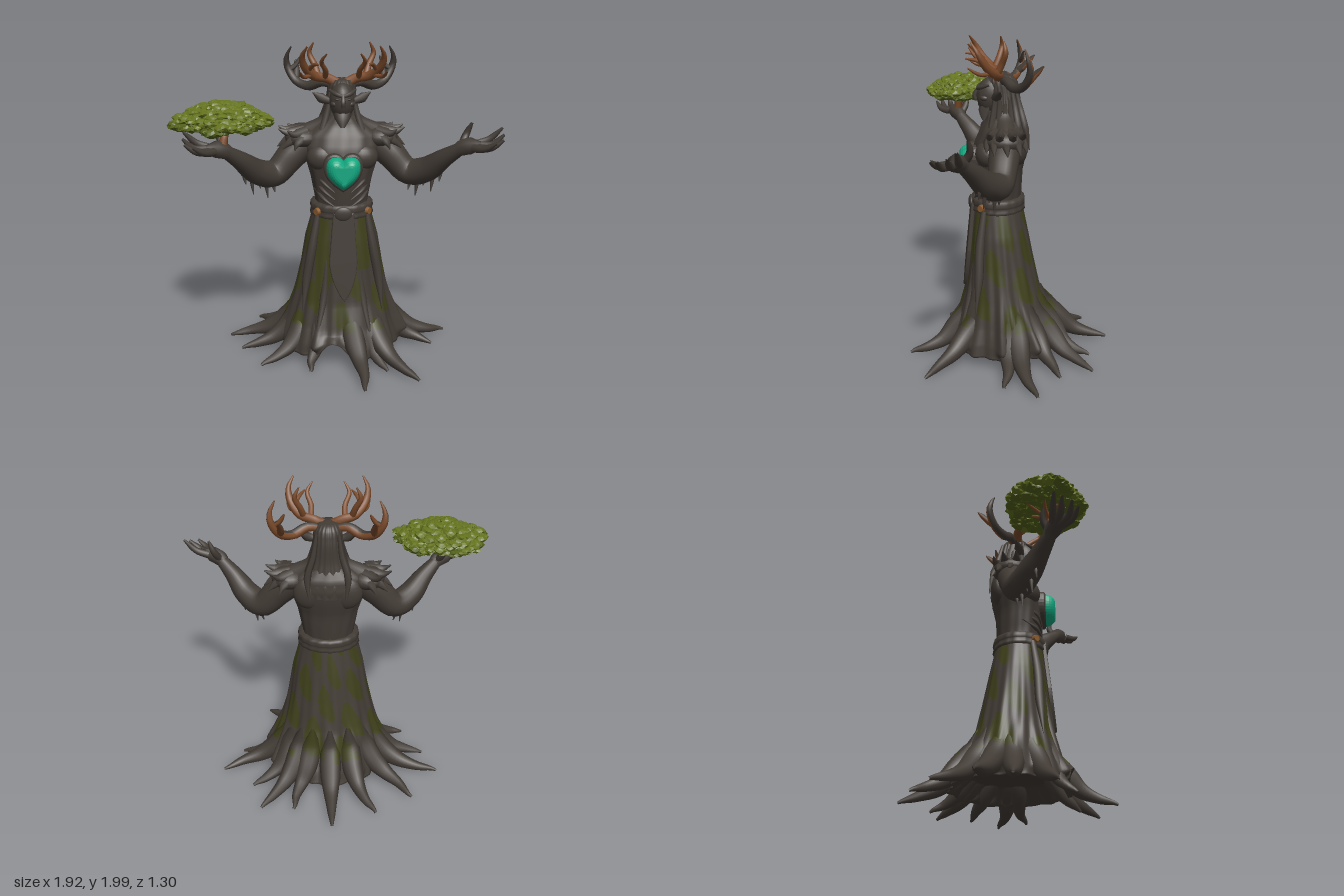
import * as THREE from 'three';
import { mergeGeometries } from 'three/addons/utils/BufferGeometryUtils.js';

const mat = (name, color) => Object.assign(new THREE.MeshStandardMaterial({ color }), { name });

export function createModel() {
  const bark = mat('bark', 0x423b35), moss = mat('moss', 0x3e3f1b), antlerWood = mat('antlerWood', 0x7c4b2b);
  const leaf = mat('leaf', 0x65741f), darkLeaf = mat('darkLeaf', 0x526019);
  const gem = mat('gem', 0x12a880), shadow = mat('shadow', 0x2b2522), bronze = mat('bronze', 0x8a5a2c);

  const root = new THREE.Group();
  root.name = 'treeGuardian';
  const body = new THREE.Group();
  body.name = 'body';
  body.position.x = 0.035;
  root.add(body);

  const add = (name, geo, material, parent = body) => {
    const m = new THREE.Mesh(geo, material);
    m.name = name;
    parent.add(m);
    return m;
  };

  // Tapered tube through points, with radii spread evenly along it
  const limb = (pts, radii, s = 1, segs = 14, sides = 8) => {
    const curve = new THREE.CatmullRomCurve3(pts.map(p => new THREE.Vector3(p[0] * s, p[1], p[2])));
    const g = new THREE.TubeGeometry(curve, segs, 1, sides);
    const pos = g.attributes.position, v = new THREE.Vector3();
    for (let i = 0; i <= segs; i++) {
      const c = curve.getPointAt(i / segs), t = i / segs * (radii.length - 1);
      const k = Math.min(Math.floor(t), radii.length - 2);
      const r = THREE.MathUtils.lerp(radii[k], radii[k + 1], t - k);
      for (let j = 0; j <= sides; j++) {
        const n = i * (sides + 1) + j;
        v.fromBufferAttribute(pos, n).sub(c).multiplyScalar(r).add(c);
        pos.setXYZ(n, v.x, v.y, v.z);
      }
    }
    return g;
  };

  // Stacked elliptical sections, bottom to top: [y, centre z, radius x, radius z]
  const loft = (rows, steps, cols, ripple = () => 1, lift = () => 0) => {
    const pos = [], idx = [], n = (rows.length - 1) * steps;
    for (let i = 0; i <= n; i++) {
      const k = Math.min(Math.floor(i / steps), rows.length - 2), f = i / steps - k;
      const [y, cz, rx, rz] = rows[k].map((a, q) => THREE.MathUtils.lerp(a, rows[k + 1][q], f));
      for (let j = 0; j < cols; j++) {
        const a = j / cols * Math.PI * 2, w = ripple(a, y);
        pos.push(Math.cos(a) * rx * w, y + lift(a, y), cz + Math.sin(a) * rz * w);
        if (i === n) continue;
        const p = i * cols + j, b = i * cols + (j + 1) % cols;
        idx.push(p, p + cols, b, b, p + cols, b + cols);
      }
    }
    const g = new THREE.BufferGeometry();
    g.setAttribute('position', new THREE.Float32BufferAttribute(pos, 3));
    g.setIndex(idx);
    g.computeVertexNormals();
    return g;
  };

  // Split triangles into two material groups by a rule on their centre and normal
  const paint = (g, rule) => {
    const sets = [[], []], v = [0, 1, 2].map(() => new THREE.Vector3());
    for (let i = 0; i < g.index.count; i += 3) {
      const t = [0, 1, 2].map(k => g.index.getX(i + k));
      t.forEach((n, k) => v[k].fromBufferAttribute(g.attributes.position, n));
      const normal = new THREE.Triangle(...v).getNormal(new THREE.Vector3());
      const c = v[0].clone().add(v[1]).add(v[2]).divideScalar(3);
      sets[rule(c, normal) ? 1 : 0].push(...t);
    }
    g.setIndex(sets.flat());
    g.addGroup(0, sets[0].length, 0);
    g.addGroup(sets[0].length, sets[1].length, 1);
    return g;
  };

  const ball = (x, y, z, sx, sy, sz) => new THREE.SphereGeometry(1, 20, 14).scale(sx, sy, sz).translate(x, y, z);

  // Mottled moss, denser at the back, with upright bands beside the front panel
  const mossy = c => {
    if (c.y < 0.25 || c.y > 0.96) return false;
    if (c.z > 0.12 && Math.abs(c.x) > 0.085 && Math.abs(c.x) < 0.17 && c.y > (c.x < 0 ? 0.5 : 0.63)) return true;
    const a = Math.atan2(c.z - 0.04, c.x);
    const n = Math.sin(7 * a + 9 * c.y) + Math.sin(23 * c.y - 4 * a + 1) + Math.sin(11 * a - 15 * c.y + 2);
    return n > (c.z < 0.05 ? -0.1 : 0.25);
  };

  // Root tips on the ground
  const tips = [[-0.03, -0.65], [-0.31, -0.53], [-0.55, -0.38], [-0.735, -0.12], [-0.65, 0.07], [-0.52, 0.3], [-0.21, 0.4],
    [0.11, 0.64], [0.27, 0.42], [0.45, 0.54], [0.6, 0.07], [0.715, -0.12], [0.5, -0.28], [0.43, -0.49], [0.22, -0.5]];

  // Folded bark skirt that swells into each root and arches up at the front
  const swell = (a, y) => {
    const amp = 0.13 * (1 - THREE.MathUtils.smoothstep(y, 0.12, 0.5)) * THREE.MathUtils.smoothstep(y, 0.08, 0.14);
    return amp * Math.max(...tips.map(([x, z]) => {
      const d = a - Math.atan2(z, x);
      return Math.exp(-(((d - Math.PI * 2 * Math.round(d / Math.PI / 2)) / 0.12) ** 2));
    }));
  };
  const skirt = loft([[0.19, 0.02, 0.01, 0.01], [0.17, 0.02, 0.28, 0.25], [0.075, 0.015, 0.385, 0.365], [0.15, 0.02, 0.37, 0.335], [0.25, 0.03, 0.338, 0.287],
    [0.4, 0.04, 0.302, 0.24], [0.6, 0.05, 0.26, 0.208], [0.8, 0.06, 0.226, 0.18], [1.0, 0.068, 0.172, 0.148]], 8, 160,
  (a, y) => 1 + (1.05 - y) * (0.035 * Math.sin(11 * a + 3 * y) + 0.022 * Math.sin(23 * a - 4 * y)) + swell(a, y),
  (a, y) => Math.max(0, 0.22 - y) * 0.8 * Math.exp(-(((a - 1.75) / 0.22) ** 2)));
  add('skirt', paint(skirt, mossy), [bark, moss]);

  // Spreading roots
  tips.forEach(([x, z], i) => {
    const d = Math.hypot(x, z), bend = 0.025 * Math.sin(i * 2.4);
    const at = (r, y, w = 0) => [x / d * r - z / d * w, y, z / d * r * (r < 0.3 ? 0.84 : 1) + x / d * w + 0.02 * (1 - r / d)];
    const out = f => 0.27 + (d - 0.275) * f;
    const g = limb([at(0.25, 0.42), at(0.275, 0.3), at(out(0.18), 0.18, bend / 2), at(out(0.43), 0.095, bend), at(out(0.72), 0.05, bend), at(out(0.95), 0.024), at(d, 0.014)],
      [0.01, 0.045, 0.066, 0.07, 0.064, 0.05, 0.036, 0.024, 0.008], 1, 24, 10);
    add('root', paint(g, mossy), [bark, moss]);
  });

  // Pointed front panel and side straps
  const panel = new THREE.Shape();
  panel.moveTo(0, 0).quadraticCurveTo(0.07, 0.1, 0.075, 0.25).lineTo(0.055, 0.55).lineTo(-0.06, 0.55)
    .lineTo(-0.085, 0.25).quadraticCurveTo(-0.08, 0.12, 0, 0);
  const tabard = add('frontPanel', new THREE.ExtrudeGeometry(panel, { depth: 0.015, bevelSize: 0.006, bevelThickness: 0.006, bevelSegments: 2 }), bark);
  tabard.position.set(0.005, 0.44, 0.272);
  tabard.rotation.x = -0.1;
  for (const s of [1, -1]) {
    add('sideStrap', limb([[0.15, 0.97, 0.16], [0.19, 0.75, 0.19], [0.225, 0.55, 0.2], [0.25, 0.34, 0.22]], [0.02, 0.03, 0.028, 0.003], s), bark);
    add('skirtFold', limb([[0.09, 0.97, 0.18], [0.1, 0.7, 0.215], [0.12, 0.45, 0.245], [0.17, 0.2, 0.31]], [0.004, 0.012, 0.025, 0.01], s), bark);
  }

  // Belt with studs
  add('belt', loft([[0.94, 0.068, 0.17, 0.14], [0.955, 0.068, 0.196, 0.168], [0.985, 0.068, 0.188, 0.162], [1.0, 0.068, 0.194, 0.167],
    [1.03, 0.068, 0.19, 0.163], [1.04, 0.068, 0.15, 0.13]], 2, 72, a => 1 + 0.012 * Math.sin(18 * a)), bark);
  add('beltBuckle', ball(0, 0.99, 0.235, 0.055, 0.045, 0.018), bark);
  for (const s of [1, -1]) {
    const stud = add('beltStud', new THREE.CylinderGeometry(0.02, 0.024, 0.02, 12).rotateX(Math.PI / 2), bronze);
    stud.position.set(0.157 * s, 0.99, 0.18);
    stud.rotation.y = 0.85 * s;
  }

  // Torso
  add('torso', loft([[0.95, 0.07, 0.16, 0.135], [1.05, 0.07, 0.162, 0.145], [1.2, 0.07, 0.19, 0.153], [1.3, 0.06, 0.22, 0.165],
    [1.38, 0.045, 0.245, 0.16], [1.45, 0.035, 0.235, 0.14], [1.51, 0.035, 0.15, 0.11], [1.57, 0.05, 0.075, 0.08]], 4, 72,
  (a, y) => 1 + 0.012 * Math.sin(14 * a + 8 * y)), bark);
  for (const s of [1, -1]) {
    add('neckMuscle', limb([[0.03, 1.58, 0.03], [0.1, 1.5, 0.03], [0.24, 1.42, 0.03]], [0.05, 0.06, 0.075], s), bark);
    add('chestMuscle', ball(0.115 * s, 1.32, 0.135, 0.1, 0.085, 0.075), bark);
    add('shoulderBlade', ball(0.11 * s, 1.36, -0.05, 0.1, 0.11, 0.055), bark);
    for (let i = 0; i < 3; i++) add('rib', limb([[0.17, 1.22 - i * 0.05, 0.1], [0.11, 1.17 - i * 0.05, 0.19], [0.05, 1.12 - i * 0.045, 0.215]], [0.004, 0.014, 0.004], s), bark);
  }

  // Heart gem in a bark rim
  const heart = k => {
    const h = new THREE.Shape();
    h.moveTo(0, 0.075 * k).bezierCurveTo(0.02 * k, 0.105 * k, 0.1 * k, 0.11 * k, 0.1 * k, 0.03 * k)
      .bezierCurveTo(0.1 * k, -0.035 * k, 0.05 * k, -0.075 * k, 0, -0.105 * k)
      .bezierCurveTo(-0.05 * k, -0.075 * k, -0.1 * k, -0.035 * k, -0.1 * k, 0.03 * k)
      .bezierCurveTo(-0.1 * k, 0.11 * k, -0.02 * k, 0.105 * k, 0, 0.075 * k);
    return h;
  };
  const puffed = (k, depth, b, thick) => new THREE.ExtrudeGeometry(heart(k),
    { depth, bevelSize: b, bevelOffset: -b, bevelThickness: thick, bevelSegments: 6, curveSegments: 10 }).translate(0, 1.25, 0);
  add('heartRim', puffed(1.18, 0.06, 0.018, 0.018).translate(0, 0, 0.165), bark);
  add('heartGem', puffed(1.03, 0.03, 0.052, 0.075).translate(0, 0, 0.198), gem);

  // Arms, hands, shoulder pads and hanging vines
  for (const s of [1, -1]) {
    add('arm', limb([[0.2, 1.41, 0.03], [0.3, 1.32, 0.05], [0.41, 1.21, 0.08], [0.51, 1.24, 0.15], [0.6, 1.33, 0.23], [0.69, 1.41, 0.3]],
      [0.09, 0.092, 0.082, 0.082, 0.073, 0.053, 0.036], s, 28, 14), bark);
    add('palm', limb([[0.65, 1.38, 0.27], [0.7, 1.415, 0.305], [0.75, 1.43, 0.33], [0.79, 1.44, 0.345]], [0.03, 0.05, 0.052, 0.015], s), bark);
    const fingers = [[[0.76, 1.43, 0.31], [0.84, 1.46, 0.31], [0.915, 1.53, 0.32]], [[0.77, 1.43, 0.33], [0.85, 1.44, 0.355], [0.915, 1.5, 0.365]],
      [[0.76, 1.42, 0.35], [0.83, 1.43, 0.4], [0.9, 1.48, 0.42]], [[0.74, 1.42, 0.36], [0.79, 1.43, 0.42], [0.85, 1.47, 0.455]],
      [[0.69, 1.42, 0.28], [0.72, 1.48, 0.25], [0.75, 1.55, 0.26]]];
    fingers.forEach(f => add('finger', limb(f, [0.025, 0.022, 0.018, 0.007], s, 10), bark));
    add('shoulderPad', ball(0.235 * s, 1.425, 0.035, 0.11, 0.068, 0.12), bark);
    for (let i = 0; i < 9; i++) {
      const a = -1.35 + i * 0.34, c = Math.cos(a), n = Math.sin(a), up = i % 2 ? 0.05 : 0;
      add('shoulderSpike', limb([[0.2 + c * 0.03, 1.455 + up / 3, 0.035 + n * 0.06], [0.25 + c * 0.08, 1.41 + up, 0.035 + n * 0.11],
        [0.26 + c * 0.13, 1.365 + up * 2.4, 0.03 + n * 0.12]], [0.03, 0.032, 0.003], s, 8, 6), bark);
    }
    for (let i = 0; i < 5; i++) {
      const x = 0.41 + i * 0.042, y = 1.16 + i * 0.022, z = 0.08 + i * 0.03;
      add('hangingVine', limb([[x, y + 0.03, z], [x + 0.008, y - 0.03, z], [x, y - 0.07 - 0.05 * (i % 2), z + 0.005]], [0.02, 0.014, 0.003], s, 6, 5), bark);
    }
  }

  // Head and hair
  add('hair', loft([[1.34, 0.0, 0.16, 0.115], [1.42, 0.015, 0.18, 0.125], [1.48, 0.025, 0.14, 0.11], [1.56, 0.025, 0.105, 0.095], [1.66, 0.025, 0.088, 0.09],
    [1.74, 0.04, 0.082, 0.09], [1.775, 0.05, 0.06, 0.07], [1.785, 0.05, 0.005, 0.005]], 3, 80, a => 1 + 0.03 * Math.sin(20 * a)), bark);
  add('face', ball(0, 1.655, 0.095, 0.076, 0.115, 0.1), bark);
  add('jaw', limb([[0, 1.6, 0.12], [0, 1.55, 0.14], [0, 1.5, 0.15]], [0.062, 0.045, 0.012]), bark);
  add('nose', limb([[0, 1.7, 0.18], [0, 1.66, 0.205], [0, 1.63, 0.2]], [0.01, 0.015, 0.012]), bark);
  add('mouth', new THREE.BoxGeometry(0.04, 0.005, 0.008).translate(0, 1.598, 0.183), shadow);
  for (const s of [1, -1]) {
    add('brow', limb([[0.005, 1.695, 0.187], [0.04, 1.707, 0.176], [0.08, 1.725, 0.12]], [0.011, 0.014, 0.005], s), bark);
    add('eye', ball(0.034 * s, 1.677, 0.182, 0.015, 0.005, 0.005), shadow);
    add('cheek', ball(0.045 * s, 1.645, 0.145, 0.026, 0.02, 0.03), bark);
    add('ear', limb([[0.07, 1.65, 0.09], [0.115, 1.665, 0.08], [0.175, 1.7, 0.06]], [0.02, 0.03, 0.002], s), bark);
    for (let i = 0; i < 6; i++) add('hairStrand', limb([[0.065, 1.73, 0.08 - i * 0.022], [0.085, 1.6, 0.09 - i * 0.03],
      [0.12, 1.48, 0.11 - i * 0.04], [0.16 - i * 0.01, 1.38 - (i % 2) * 0.04, 0.13 - i * 0.049]], [0.01, 0.018, 0.022, 0.004], s, 12, 6), bark);
    // Forward antlers
    const front = [[[[0.03, 1.755, 0.07], [0.09, 1.785, 0.065], [0.16, 1.8, 0.09], [0.22, 1.86, 0.15], [0.235, 1.93, 0.19], [0.205, 1.99, 0.23]], 0.031],
      [[[0.14, 1.795, 0.08], [0.16, 1.86, 0.05], [0.19, 1.93, 0.03], [0.165, 1.99, 0.04]], 0.021],
      [[[0.1, 1.785, 0.07], [0.1, 1.84, 0.14], [0.125, 1.9, 0.2], [0.095, 1.95, 0.24]], 0.018],
      [[[0.2, 1.84, 0.13], [0.17, 1.88, 0.19], [0.14, 1.89, 0.26]], 0.014],
      [[[0.18, 1.81, 0.11], [0.23, 1.81, 0.18], [0.25, 1.85, 0.25]], 0.014]];
    front.forEach(([p, r]) => add('frontAntler', limb(p, [r, r * 0.9, r * 0.75, 0.004], s), antlerWood));
    // Rear antlers, bark in front and bare wood behind
    const rear = [[[[0.04, 1.74, 0.04], [0.12, 1.755, 0.02], [0.2, 1.725, -0.02], [0.27, 1.75, -0.07], [0.32, 1.83, -0.1], [0.325, 1.89, -0.09], [0.295, 1.955, -0.07]], 0.031],
      [[[0.27, 1.75, -0.07], [0.265, 1.8, -0.12], [0.27, 1.86, -0.18]], 0.023],
      [[[0.31, 1.81, -0.09], [0.27, 1.84, -0.1], [0.24, 1.89, -0.11]], 0.016]];
    rear.forEach(([p, r]) => add('rearAntler', paint(limb(p, [r * 0.8, r, r * 0.85, r * 0.7, 0.004], s, 18), (c, n) => n.z < -0.25 && n.y < 0.65), [bark, antlerWood]));
  }

  // Small tree held over the right palm
  const tree = new THREE.Group();
  tree.name = 'smallTree';
  tree.position.set(-0.66, 1.6, 0.265);
  root.add(tree);
  add('trunk', limb([[0, -0.15, 0.04], [0.01, -0.11, 0.03], [0.02, -0.07, 0.01], [0, 0, 0]], [0.028, 0.02, 0.018, 0.014]), antlerWood, tree);
  for (let i = 0; i < 6; i++) {
    const c = Math.cos(i * 1.05), n = Math.sin(i * 1.05);
    add('branch', limb([[0.01, -0.1, 0.02], [c * 0.07, -0.06, n * 0.06], [c * 0.18, -0.02, n * 0.15]], [0.012, 0.01, 0.004], 1, 8, 5), antlerWood, tree);
  }
  let seed = 7;
  const rand = () => (seed = (seed * 16807) % 2147483647) / 2147483647;
  const clumps = [[], []], count = 300;
  for (let i = 0; i < count; i++) {
    const q = Math.sqrt((i + 0.5) / count), a = i * 2.39996, r = 0.024 + rand() * 0.018, under = i % 3 === 0;
    const g = new THREE.IcosahedronGeometry(r, 1), p = g.attributes.position;
    for (let k = 0; k < p.count; k++) {
      const w = 1 + 0.25 * Math.sin(p.getX(k) * 190 + i) * Math.cos(p.getZ(k) * 170 + p.getY(k) * 150);
      p.setXYZ(k, p.getX(k) * w, p.getY(k) * w * 0.65, p.getZ(k) * w);
    }
    g.computeVertexNormals();
    const edge = 1 + 0.07 * Math.sin(a * 5), x = Math.cos(a) * q * 0.26 * edge;
    const y = under ? -0.038 + 0.02 * (1 - q) : 0.062 - q * q * 0.085;
    g.translate(x, y + (rand() - 0.5) * 0.025, Math.sin(a) * q * 0.208 * edge);
    clumps[under ? 1 : 0].push(g);
  }
  add('foliage', mergeGeometries(clumps[0]), leaf, tree);
  add('innerFoliage', mergeGeometries(clumps[1]), darkLeaf, tree);

  return root;
}
